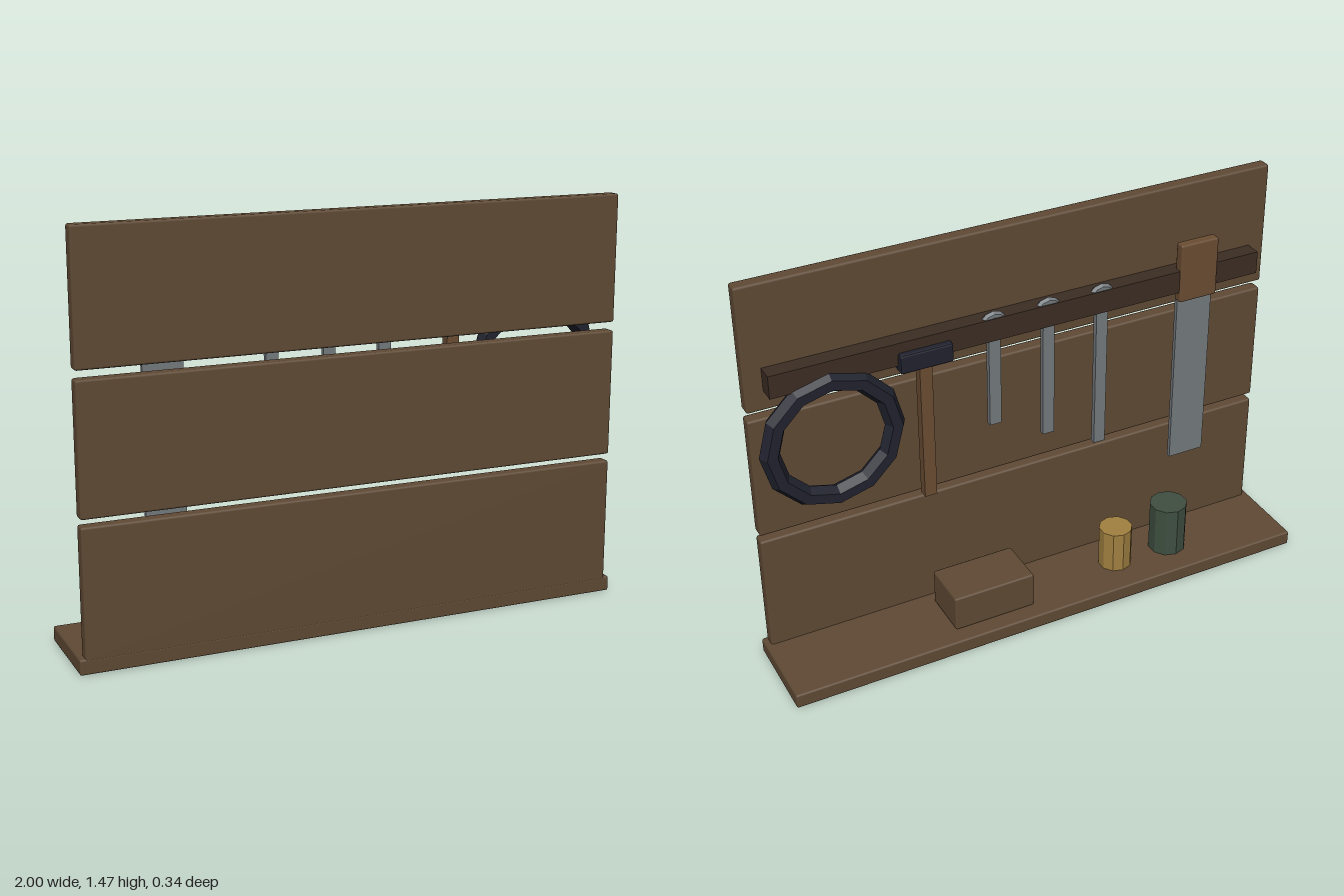
import * as THREE from 'three';
import { RoundedBoxGeometry } from 'three/addons/geometries/RoundedBoxGeometry.js';

const mat = (name, color, flatShading = false) => {
  const m = new THREE.MeshStandardMaterial({ color, flatShading });
  m.name = name;
  return m;
};

export function createModel() {
  const group = new THREE.Group();
  const wood = mat('brown wood', 0x5f4a34);
  const handleWood = mat('warm handle wood', 0x6b4d33);
  const darkWood = mat('dark wood', 0x3c2d24);
  const steel = mat('steel', 0x747a7e, true);
  const iron = mat('dark iron', 0x20222e, true);
  const green = mat('green tin', 0x3f4f41, true);
  const yellow = mat('yellow tin', 0xa18040, true);

  const add = (name, geometry, material, x, y, z) => {
    const mesh = new THREE.Mesh(geometry, material);
    mesh.name = name;
    mesh.position.set(x, y, z);
    group.add(mesh);
    return mesh;
  };

  // Box given by its limits on each axis, with an optional bevel
  const box = (name, material, [x0, x1], [y0, y1], [z0, z1], bevel = 0) => {
    const size = [x1 - x0, y1 - y0, z1 - z0];
    const geometry = bevel
      ? new RoundedBoxGeometry(...size, 1, bevel)
      : new THREE.BoxGeometry(...size);
    return add(name, geometry, material, (x0 + x1) / 2, (y0 + y1) / 2, (z0 + z1) / 2);
  };

  // Shelf and three wall boards
  box('shelf', wood, [-1, 1], [0, 0.055], [-0.17, 0.17], 0.007);
  [0.045, 0.525, 1.01].forEach((y, i) =>
    box('wallBoard' + (i + 1), wood, [-0.98, 0.98], [y, y + 0.455], [0.12, 0.17], 0.008));

  // Tool rail
  box('toolRail', darkWood, [-0.917, 0.917], [1.083, 1.167], [0.06, 0.125]);

  // Saw
  box('sawBlade', steel, [-0.74, -0.6], [0.38, 1.06], [0.077, 0.093]);
  box('sawHandle', handleWood, [-0.745, -0.595], [1.045, 1.267], [0.053, 0.092], 0.007);

  // Three spanners of rising length, their rings just above the rail
  [[0.122, 0.75], [-0.083, 0.65], [-0.29, 0.55]].forEach(([x, bottom], i) => {
    box('spannerShaft' + (i + 1), steel, [x - 0.022, x + 0.022], [bottom, 1.12], [0.066, 0.086]);
    add('spannerRing' + (i + 1), new THREE.TorusGeometry(0.04, 0.014, 6, 12), steel, x, 1.135, 0.075);
  });

  // Hammer
  box('hammerHandle', handleWood, [0.357, 0.402], [0.54, 1.1], [0.055, 0.09]);
  box('hammerHead', iron, [0.285, 0.475], [1.06, 1.13], [0.037, 0.103], 0.007);

  // Coil hanging at the end of the rail
  add('coil', new THREE.TorusGeometry(0.22, 0.036, 6, 12), iron, 0.715, 0.87, 0.066);

  // Things on the shelf
  box('storageBox', wood, [0.065, 0.375], [0.055, 0.192], [-0.108, 0.078], 0.007);
  const tin = (name, material, x, r, h) =>
    add(name, new THREE.CylinderGeometry(r, r, h, 10), material, x, 0.055 + h / 2, -0.018);
  tin('greenTin', green, -0.545, 0.07, 0.195);
  tin('yellowTin', yellow, -0.32, 0.062, 0.16);

  return group;
}
